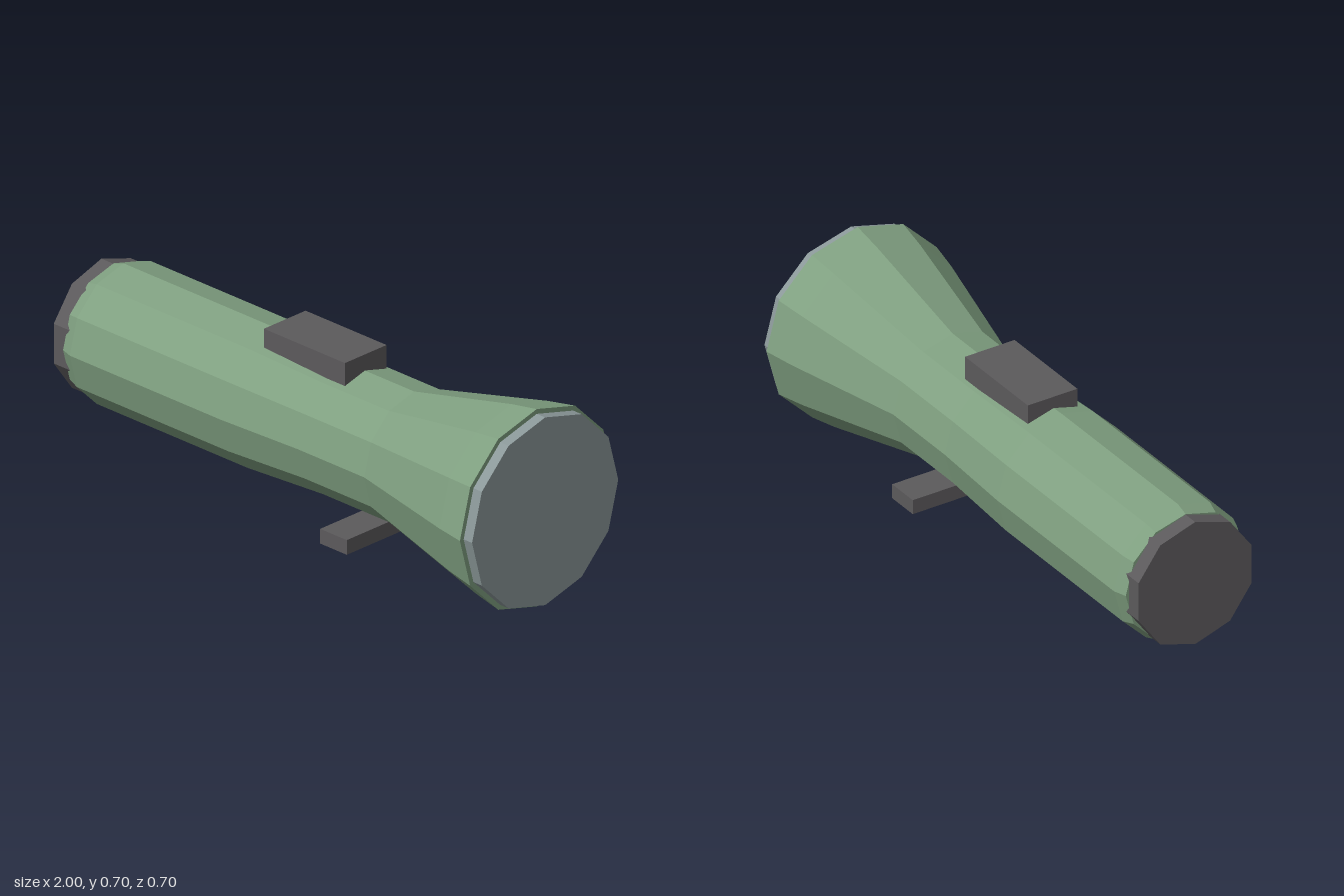
import * as THREE from 'three';

const AXIS_Y = 0.35;

export function createModel() {
  const group = new THREE.Group();
  const paint = (color) => new THREE.MeshStandardMaterial({ color, flatShading: true });
  const green = paint(0x7f9f80);
  const dark = paint(0x5c5a5c);
  const glass = paint(0x8b9899);

  const add = (name, geometry, material, x, y, z = 0) => {
    const mesh = new THREE.Mesh(geometry, material);
    mesh.name = name;
    mesh.position.set(x, y, z);
    group.add(mesh);
  };

  // Disc whose axis lies along x, with a corner pointing straight up
  const disc = (radius, length, sides) =>
    new THREE.CylinderGeometry(radius, radius, length, sides, 1, false, Math.PI / 2).rotateZ(-Math.PI / 2);

  // Twelve-sided body: radius at each station along x, flaring into the head
  const profile = [
    [0, -0.945], [0.23, -0.945], [0.245, -0.9], [0.245, -0.22], [0.228, 0.11],
    [0.228, 0.41], [0.33, 0.85], [0.35, 0.962], [0, 0.962],
  ].map(([r, x]) => new THREE.Vector2(r, x));
  add('body', new THREE.LatheGeometry(profile, 12).rotateZ(-Math.PI / 2), green, 0, AXIS_Y);

  // End pieces
  add('lens', disc(0.333, 0.06, 12), glass, 0.97, AXIS_Y);
  add('tailCap', disc(0.228, 0.08, 10), dark, -0.96, AXIS_Y);

  // Switch block on top and crossbar underneath
  add('switchBlock', new THREE.BoxGeometry(0.365, 0.1, 0.19), dark, 0.005, 0.585, -0.004);
  add('crossbar', new THREE.BoxGeometry(0.12, 0.052, 0.524), dark, 0.305, 0.098);

  return group;
}
